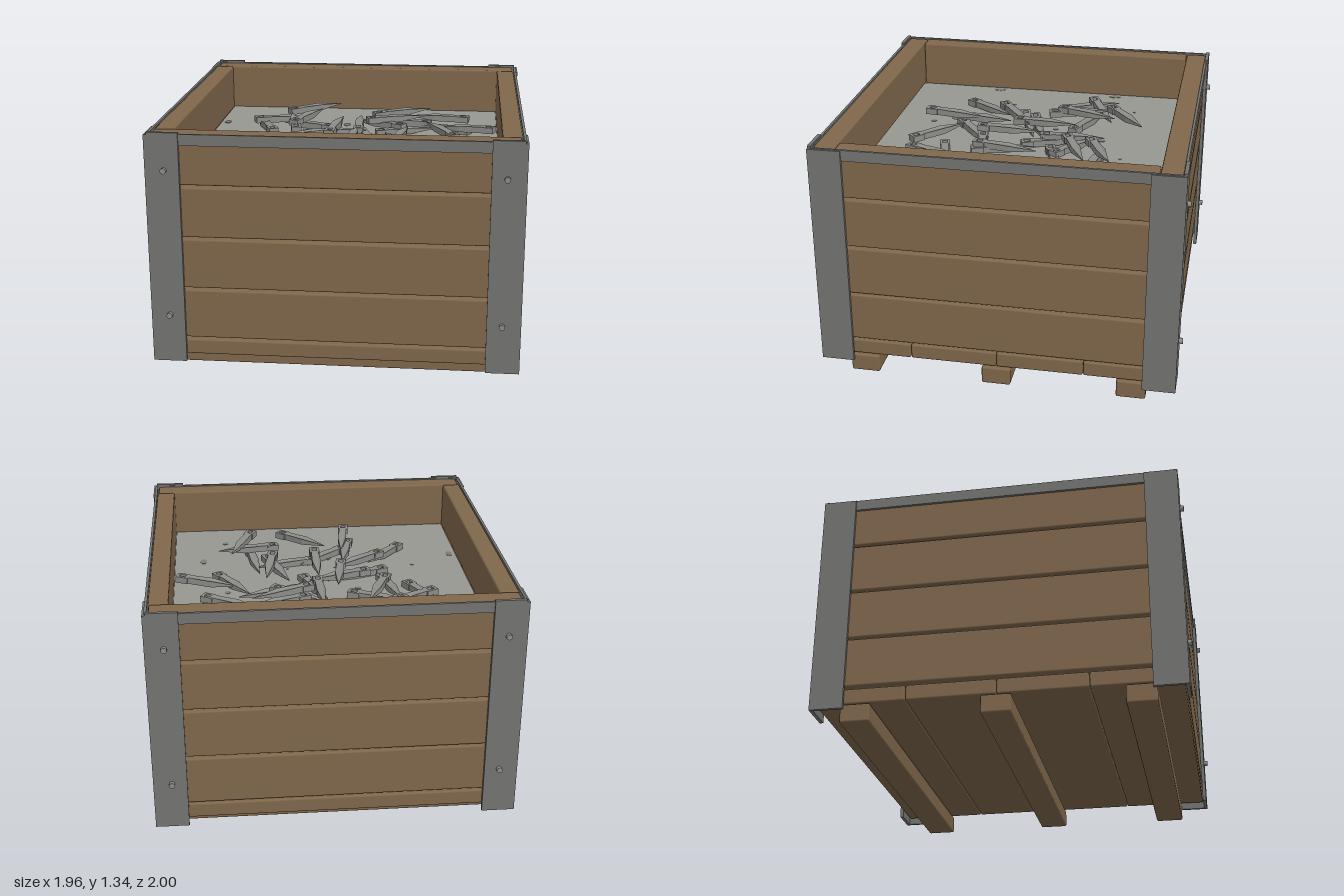
import * as THREE from 'three';
import { RoundedBoxGeometry } from 'three/addons/geometries/RoundedBoxGeometry.js';

const mat = (name, color) => new THREE.MeshStandardMaterial({ name, color });

export function createModel() {
  const wood = mat('wood', 0x80684c);
  const metal = mat('bracket steel', 0x747472);
  const spikeSteel = mat('spike steel', 0x8c8c89);
  const sheet = mat('pale sheet', 0x979891);
  const stain = mat('stain', 0x7c7d78);

  const crate = new THREE.Group();
  crate.name = 'crate';

  let seed = 7;
  const rand = () => (seed = (seed * 16807) % 2147483647) / 2147483647;

  const add = (name, geometry, material, x, y, z, parent = crate) => {
    const mesh = new THREE.Mesh(geometry, material);
    mesh.name = name;
    mesh.position.set(x, y, z);
    parent.add(mesh);
    return mesh;
  };
  const box = (name, material, w, h, d, x, y, z) =>
    add(name, new THREE.BoxGeometry(w, h, d), material, x, y, z);
  const plank = (name, w, h, d, x, y, z) =>
    add(name, new RoundedBoxGeometry(w, h, d, 1, 0.01), wood, x, y, z);

  // Skids and floor boards
  for (const z of [-0.74, 0, 0.74]) plank('skid', 1.92, 0.1, 0.16, 0, 0.055, z).position.y = 0.05;
  for (let i = 0; i < 4; i++) plank('floorBoard', 1.9, 0.085, 0.476, 0, 0.148, -0.717 + i * 0.478);

  // Four slightly uneven planks on every wall
  for (let i = 0; i < 4; i++) {
    const y = 0.339 + i * 0.284;
    for (const s of [-1, 1]) {
      const long = plank('longWallPlank', 1.9, 0.272, 0.115, 0, y, s * 0.9);
      long.rotation.z = (rand() - 0.5) * 0.004;
      const short = plank('sideWallPlank', 0.105, 0.272, 1.68, s * 0.903, y, 0);
      short.rotation.x = (rand() - 0.5) * 0.004;
    }
  }

  // Steel rim strips round the top
  for (const s of [-1, 1]) {
    box('rimStrip', metal, 1.92, 0.06, 0.014, 0, 1.301, s * 0.964);
    box('rimStrip', metal, 0.014, 0.06, 1.92, s * 0.964, 1.301, 0);
  }

  // Corner angles with rivets on the front and back flanges
  const rivet = new THREE.CylinderGeometry(0.016, 0.016, 0.024, 12).rotateX(Math.PI / 2);
  for (const sx of [-1, 1]) {
    for (const sz of [-1, 1]) {
      box('cornerFlange', metal, 0.164, 1.268, 0.02, sx * 0.882, 0.706, sz * 0.97);
      box('cornerSideFlange', metal, 0.018, 1.255, 0.18, sx * 0.971, 0.7, sz * 0.89);
      for (const y of [0.34, 1.14]) add('rivet', rivet, spikeSteel, sx * 0.88, y, sz * 0.988);
    }
  }

  // Sheet that carries the spikes, with repeating stains
  const top = 1.06;
  box('sheet', sheet, 1.7, 0.02, 1.69, 0, top - 0.01, 0);
  const disc = new THREE.CylinderGeometry(1, 1, 0.003, 10);
  const spot = (x, z, rx, rz) => {
    if (Math.abs(x) < 0.83 && Math.abs(z) < 0.82) {
      add('stain', disc, stain, x, top + 0.001, z).scale.set(rx, 1, rz);
    }
  };
  for (let i = 0; i < 3; i++) {
    for (let j = 0; j < 2; j++) {
      const x = -0.81 + i * 0.745, z = -0.41 + j * 0.745;
      spot(x, z, 0.02, 0.034);
      spot(x + 0.25, z - 0.15, 0.01, 0.008);
      spot(x + 0.61, z + 0.28, 0.017, 0.017);
    }
  }

  // Spike: eyed square head, straight shank and a point that thins to an edge
  const outline = new THREE.Shape([
    [-0.03, -0.029], [0.04, -0.029], [0.04, -0.021], [0.18, -0.025], [0.34, 0],
    [0.18, 0.025], [0.04, 0.021], [0.04, 0.029], [-0.03, 0.029],
  ].map(([x, y]) => new THREE.Vector2(x, y)));
  outline.holes.push(new THREE.Path([
    [-0.014, -0.014], [-0.014, 0.014], [0.022, 0.014], [0.022, -0.014],
  ].map(([x, y]) => new THREE.Vector2(x, y))));
  const spikeGeo = new THREE.ExtrudeGeometry(outline, { depth: 0.036, bevelEnabled: false })
    .translate(0, 0, -0.018).rotateX(-Math.PI / 2);
  const p = spikeGeo.attributes.position;
  for (let i = 0; i < p.count; i++) if (p.getX(i) > 0.3) p.setY(i, p.getY(i) * 0.1);
  spikeGeo.computeVertexNormals();

  // Scattered spikes: head x, head z, heading in degrees
  const scatter = [
    [-0.49, -0.15, 115], [-0.59, -0.31, 25], [-0.4, -0.45, 36], [-0.16, -0.25, 156],
    [-0.34, -0.1, 102], [-0.35, -0.16, 68], [-0.36, 0.08, 18], [-0.25, 0, 17],
    [-0.12, 0.07, 82], [0.1, -0.01, 109], [0.03, -0.11, 92], [-0.35, 0.2, 35],
    [-0.5, 0.43, 52], [-0.2, 0.46, 79], [-0.19, 0.62, 82], [-0.16, 0.42, 38],
    [0.19, 0.62, 136], [0.02, 0.26, 90], [0.03, 0.26, 9], [0.3, 0.24, 109],
    [0.27, 0.23, 81], [0.4, 0.44, 98], [0.26, 0.43, 14], [0.39, 0.58, 69],
    [0.16, -0.16, 17], [0.59, 0, 120], [0.8, -0.07, 161], [0.66, -0.24, 152],
    [0.65, -0.43, 171], [0.1, -0.25, 23], [0.42, -0.4, 169], [0.27, -0.21, 146],
    [0.13, -0.39, 24],
  ];
  const spikes = new THREE.Group();
  spikes.name = 'spikes';
  crate.add(spikes);
  scatter.forEach(([x, z, deg], i) => {
    const spike = add('spike', spikeGeo, spikeSteel, x, top + 0.02 + (i % 3) * 0.026, z, spikes);
    spike.rotation.set(0, THREE.MathUtils.degToRad(deg), (rand() - 0.5) * 0.1, 'YXZ');
  });

  return crate;
}
